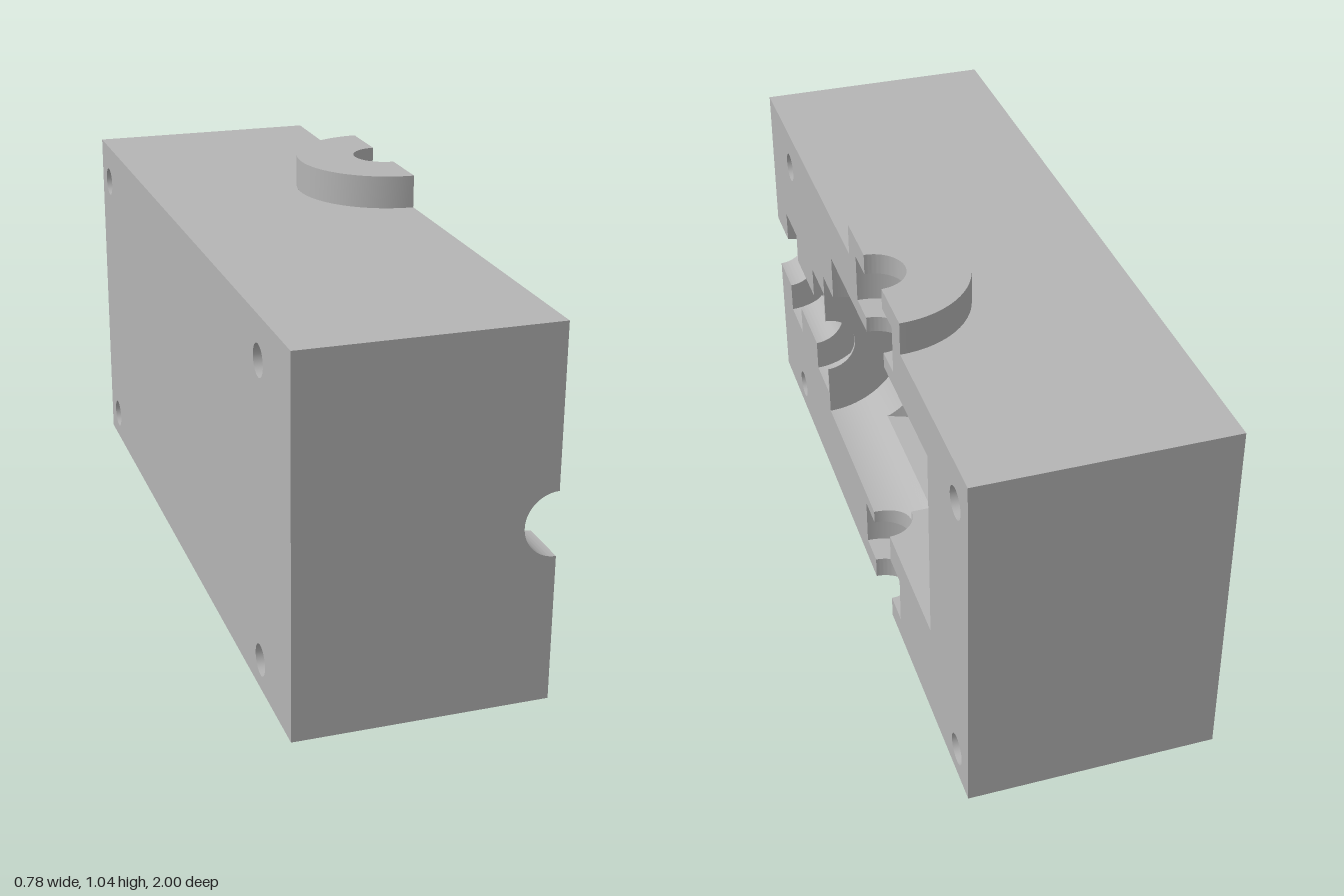
import * as THREE from 'three';
import { toCreasedNormals } from 'three/addons/utils/BufferGeometryUtils.js';

// Block half sizes, then cavity dimensions
const W = 0.32, L = 0.98, H = 0.953, TOP = 1.04;
const AXIS_Z = -0.215, AXIS_Y = 0.46;           // upright and level shaft axes
const SHAFT = 0.0825, BEARING = 0.17, BOSS = 0.24;
const GEAR = 0.458, FLOOR = 0.275, CEIL = 0.815; // round gear chamber
const PINION = 0.23, PIN_Z = 0.359;              // pinion pocket
const HOLE = 0.04, HOLES_Z = [0.733, -0.888], HOLES_Y = [0.077, 0.843];
const SLOT = Math.sqrt(PINION ** 2 - (AXIS_Y - FLOOR) ** 2); // half width of the floor slot
const SEG = 48;

// Stepped profiles as [radius, distance along the axis]
const levelSteps = [[SHAFT, L], [SHAFT, 0.841], [BEARING, 0.841], [BEARING, 0.706], [SHAFT, 0.706], [SHAFT, 0.502],
  [BEARING, 0.502], [BEARING, 0.367], [SHAFT, 0.367], [SHAFT, PIN_Z], [PINION, PIN_Z]];
const lowerSteps = [[SHAFT, 0], [SHAFT, 0.06], [BEARING, 0.06], [BEARING, 0.193], [SHAFT, 0.193]];
const upperSteps = [[GEAR, CEIL], [SHAFT, CEIL], [SHAFT, 0.857], [BEARING, 0.857], [BEARING, 0.985],
  [SHAFT, 0.985], [SHAFT, TOP], [BOSS, TOP], [BOSS, H]];

// Half-turn surface on the block's side of the split face
function halfTurn(steps) {
  const pts = steps.map(([r, y]) => new THREE.Vector2(r, y));
  return toCreasedNormals(new THREE.LatheGeometry(pts, SEG, Math.PI, Math.PI), 0.6);
}

// Ruled surface between two edges given by rule(t) -> [p, q]
function strip(n, rule) {
  const pos = [], idx = [];
  for (let i = 0; i <= n; i++) {
    const [p, q] = rule(i / n);
    pos.push(...p, ...q);
    if (i < n) idx.push(2 * i, 2 * i + 1, 2 * i + 2, 2 * i + 1, 2 * i + 3, 2 * i + 2);
  }
  const g = new THREE.BufferGeometry();
  g.setAttribute('position', new THREE.Float32BufferAttribute(pos, 3));
  g.setIndex(idx);
  g.computeVertexNormals();
  return g;
}

// Rectangle with an optional half-round notch in its +x edge
function notched(lo, hi, c, r) {
  const s = new THREE.Shape().moveTo(-W, lo).lineTo(W, lo);
  if (r) s.lineTo(W, c - r).absarc(W, c, r, -Math.PI / 2, -1.5 * Math.PI, true);
  s.lineTo(W, hi).lineTo(-W, hi).closePath();
  return new THREE.ShapeGeometry(s, 32);
}

function punch(shape, sign, zs, ys) {
  for (const z of zs) for (const y of ys) {
    shape.holes.push(new THREE.Path().absarc(sign * z, y, HOLE, 0, Math.PI * 2, true));
  }
  return shape;
}

export function createModel() {
  const model = new THREE.Group();
  const housing = new THREE.Group();
  housing.name = 'gearHousingHalf';
  housing.rotation.y = Math.atan(0.0706);
  model.add(housing);
  const grey = new THREE.MeshStandardMaterial({ color: 0xb4b4b4, side: THREE.DoubleSide });
  grey.name = 'grey';
  function add(name, geometry, x = 0, y = 0, z = 0) {
    const m = new THREE.Mesh(geometry, grey);
    m.name = name;
    m.position.set(x, y, z);
    housing.add(m);
  }

  // Outer walls
  add('topWall', notched(-L, L, -AXIS_Z, BOSS).rotateX(-Math.PI / 2), 0, H, 0);
  add('bottomWall', notched(-L, L, AXIS_Z, SHAFT).rotateX(Math.PI / 2));
  add('frontWall', notched(0, H, AXIS_Y, SHAFT), 0, 0, L);
  add('backWall', notched(0, H, 0, 0).rotateY(Math.PI), 0, 0, -L);
  const side = new THREE.Shape().moveTo(-L, 0).lineTo(L, 0).lineTo(L, H).lineTo(-L, H).closePath();
  add('outerSideWall', new THREE.ShapeGeometry(punch(side, 1, HOLES_Z, HOLES_Y), 16).rotateY(-Math.PI / 2), -W);

  // Split face: three pieces around the cavities, as [z, y] outlines
  const upright = (steps, s) => steps.map(([r, y]) => [AXIS_Z + s * r, y]);
  const level = (s) => levelSteps.map(([r, z]) => [z, AXIS_Y + s * r]);
  const pieces = [
    ['splitFaceBack', [[-L, 0], ...upright(lowerSteps, -1), [AXIS_Z - SHAFT, FLOOR], [AXIS_Z - GEAR, FLOOR],
      ...upright(upperSteps, -1), [-L, H]], [HOLES_Z[1]], HOLES_Y],
    ['splitFaceUpper', [[L, H], ...level(1), [AXIS_Z + GEAR, AXIS_Y + PINION], ...upright(upperSteps, 1)],
      [HOLES_Z[0]], [HOLES_Y[1]]],
    ['splitFaceLower', [[L, 0], ...upright(lowerSteps, 1), [AXIS_Z + SHAFT, AXIS_Y - PINION],
      ...level(-1).reverse()], [HOLES_Z[0]], [HOLES_Y[0]]],
  ];
  for (const [name, outline, zs, ys] of pieces) {
    const shape = new THREE.Shape(outline.map(([z, y]) => new THREE.Vector2(-z, y)));
    add(name, new THREE.ShapeGeometry(punch(shape, -1, zs, ys), 16).rotateY(Math.PI / 2), W);
  }

  // Bolt holes
  for (const z of HOLES_Z) for (const y of HOLES_Y) {
    add('boltHole', new THREE.CylinderGeometry(HOLE, HOLE, 2 * W, 32, 1, true).rotateZ(Math.PI / 2), 0, y, z);
  }

  // Shaft and bearing seats; the upper one carries the boss
  add('levelShaftSeat', halfTurn(levelSteps).rotateX(Math.PI / 2), W, AXIS_Y, 0);
  add('lowerShaftSeat', halfTurn(lowerSteps), W, 0, AXIS_Z);
  add('upperShaftSeatAndBoss', halfTurn(upperSteps), W, 0, AXIS_Z);

  // Gear chamber wall, opened where the pinion pocket enters
  const chamberWall = (upper) => strip(160, (t) => {
    const a = t * Math.PI, d = GEAR * Math.sin(a), z = GEAR * Math.cos(a);
    const open = z > 0 && d < PINION ? Math.sqrt(PINION ** 2 - d * d) : 0;
    return upper ? [[-d, AXIS_Y + open, z], [-d, CEIL, z]]
      : [[-d, FLOOR, z], [-d, Math.max(FLOOR, AXIS_Y - open), z]];
  });
  add('gearChamberWallUpper', chamberWall(true), W, 0, AXIS_Z);
  add('gearChamberWallLower', chamberWall(false), W, 0, AXIS_Z);

  // Chamber floor with the slot left by the pinion pocket
  const floor = new THREE.Shape().moveTo(0, GEAR)
    .absarc(0, 0, GEAR, Math.PI / 2, Math.PI + Math.acos(SLOT / GEAR), false)
    .lineTo(-SLOT, 0).lineTo(-SHAFT, 0)
    .absarc(0, 0, SHAFT, Math.PI, Math.PI / 2, true).closePath();
  add('gearChamberFloor', new THREE.ShapeGeometry(floor, SEG).rotateX(-Math.PI / 2), W, FLOOR, AXIS_Z);

  // Pinion pocket wall, ending at the chamber above the floor and at the shaft below it
  const split = Math.acos((FLOOR - AXIS_Y) / PINION);
  const pocketWall = (from, to, radius) => strip(64, (t) => {
    const a = from + (to - from) * t, d = PINION * Math.sin(a), y = AXIS_Y + PINION * Math.cos(a);
    const end = AXIS_Z + Math.sqrt(Math.max(0, radius ** 2 - d * d));
    return [[-d, y, PIN_Z], [-d, y, end]];
  });
  add('pinionPocketWall', pocketWall(0, split, GEAR), W);
  add('pinionSlotWall', pocketWall(split, Math.PI, SHAFT), W);

  // Slot end and the short shaft wall under the chamber floor
  const slotY = (d) => AXIS_Y - Math.sqrt(PINION ** 2 - d * d);
  add('pinionSlotEnd', strip(12, (t) => {
    const d = SHAFT + (SLOT - SHAFT) * t;
    return [[-d, slotY(d), 0], [-d, FLOOR, 0]];
  }), W, 0, AXIS_Z);
  for (const s of [-1, 1]) {
    add('lowerShaftNeck', strip(24, (t) => {
      const a = t * Math.PI / 2, d = SHAFT * Math.sin(a), z = s * SHAFT * Math.cos(a);
      return [[-d, 0.193, z], [-d, s > 0 ? slotY(d) : FLOOR, z]];
    }), W, 0, AXIS_Z);
  }
  return model;
}
